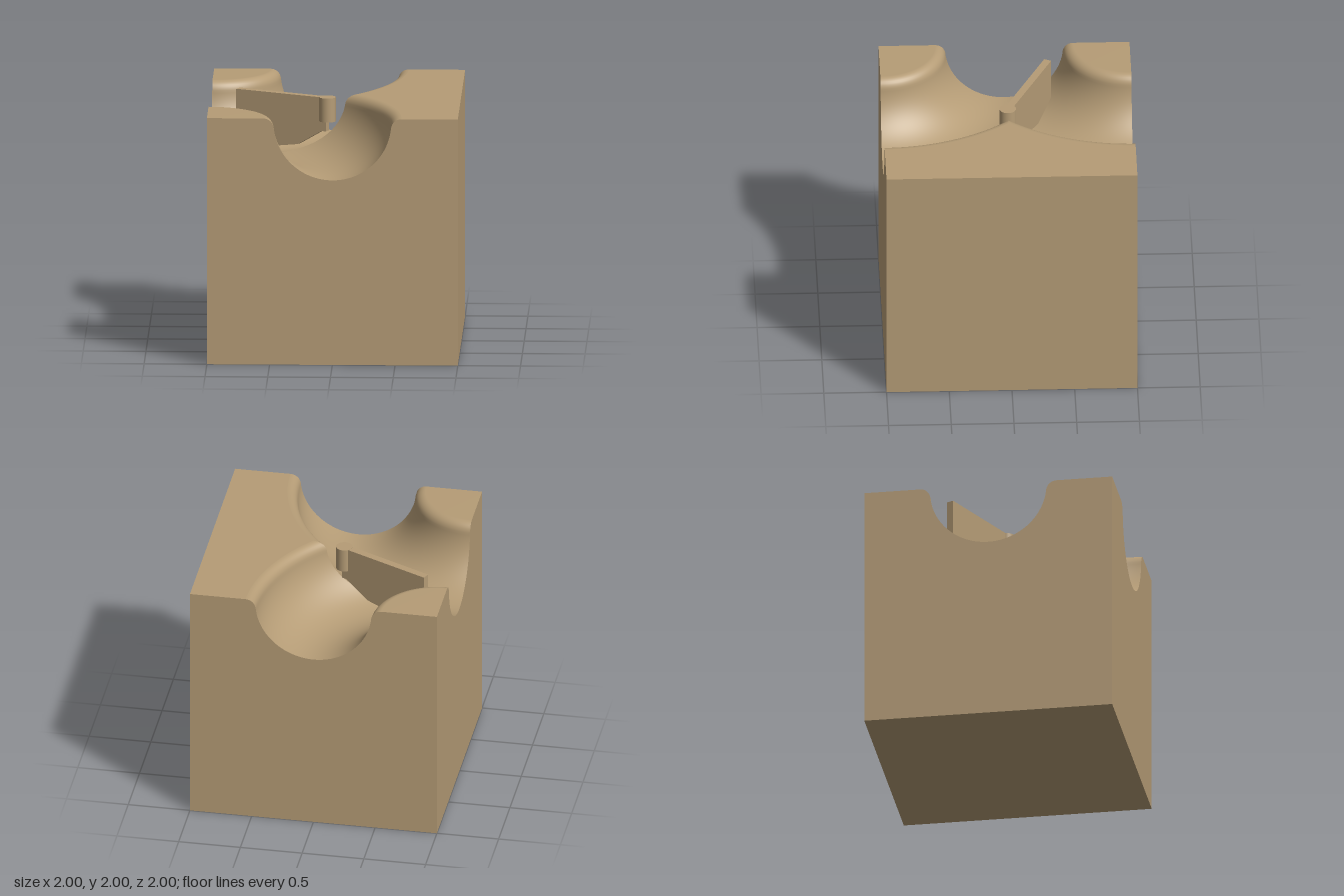
import * as THREE from 'three';

const RING = 1;      // centre-line radius of each curved channel
const STEPS = 48;    // divisions around each channel
const RIM = 0.55;    // half width of the channel at the top surface

// Half cross-section of the channel: [distance from centre line, height]
function channelHalf() {
  const pts = [];
  const tilt = Math.atan2(0.051, 0.55);
  for (let i = 0; i <= 32; i++) {
    const a = -Math.PI / 2 + (Math.PI / 2 - tilt) * i / 32;
    pts.push([0.47 * Math.cos(a), 1.97 + 0.47 * Math.sin(a)]);
  }
  for (let i = 1; i <= 8; i++) {
    const a = Math.PI - tilt + (tilt - Math.PI / 2) * i / 8;
    pts.push([RIM + 0.081 * Math.cos(a), 1.919 + 0.081 * Math.sin(a)]);
  }
  pts[pts.length - 1] = [RIM, 2];
  return pts;
}

// Full cross-section from the inner rim to the outer rim
function channelProfile() {
  const half = channelHalf();
  const inner = half.slice(1).reverse().map(([d, y]) => [-d, y]);
  return [...inner, ...half];
}

// Angle at which a ring of radius r meets the middle plane z = 0
const startAngle = (r) => (r > 1 ? Math.acos(1 / r) : 0);

// Quarter channel swept around the corner (-1, side), with its flat island
function channelGeometry(profile, side) {
  const rows = [[0.001, 2], ...profile.map(([d, y]) => [RING + d, y])];
  const pos = [], index = [];
  rows.forEach(([r, y], i) => {
    const t0 = startAngle(r);
    for (let j = 0; j <= STEPS; j++) {
      const t = t0 + (Math.PI / 2 - t0) * j / STEPS;
      pos.push(-1 + r * Math.sin(t), y, side * (1 - r * Math.cos(t)));
      if (i < rows.length - 1 && j < STEPS) {
        const a = i * (STEPS + 1) + j, b = a + STEPS + 1;
        if (side > 0) index.push(a, a + 1, b + 1, a, b + 1, b);
        else index.push(a, b + 1, a + 1, a, b, b + 1);
      }
    }
  });
  const g = new THREE.BufferGeometry();
  g.setAttribute('position', new THREE.Float32BufferAttribute(pos, 3));
  g.setIndex(index);
  g.computeVertexNormals();
  return g;
}

export function createModel() {
  const model = new THREE.Group();
  const tan = new THREE.MeshStandardMaterial({ color: 0xb59c76 });
  tan.name = 'tan wood';
  const add = (name, geometry, parent = model) => {
    const mesh = new THREE.Mesh(geometry, tan);
    mesh.name = name;
    parent.add(mesh);
    return mesh;
  };

  const profile = channelProfile();

  // Block body
  const block = new THREE.Group();
  block.name = 'block';
  model.add(block);
  add('frontChannel', channelGeometry(profile, 1), block);
  add('backChannel', channelGeometry(profile, -1), block);

  // Walls notched by a channel mouth
  const notched = new THREE.Shape([[-1, 0], [1, 0], [1, 2], ...[...profile].reverse(), [-1, 2]]
    .map(([x, y]) => new THREE.Vector2(x, y)));
  [['frontWall', 0], ['backWall', Math.PI], ['leftOpenWall', -Math.PI / 2]].forEach(([name, turn]) => {
    add(name, new THREE.ShapeGeometry(notched).translate(0, 0, 1).rotateY(turn), block);
  });

  // Plain wall and underside
  add('plainWall', new THREE.PlaneGeometry(2, 2).rotateY(Math.PI / 2).translate(1, 1, 0), block);
  add('underside', new THREE.PlaneGeometry(2, 2).rotateX(Math.PI / 2), block);

  // Flat top beside the channels, bounded by both outer rims
  const outer = RING + RIM, t0 = startAngle(outer), edge = [];
  for (let j = STEPS; j >= 0; j--) {
    const t = t0 + (Math.PI / 2 - t0) * j / STEPS;
    edge.push(new THREE.Vector2(-1 + outer * Math.sin(t), 1 - outer * Math.cos(t)));
  }
  const mirrored = edge.slice(0, -1).reverse().map((p) => new THREE.Vector2(p.x, -p.y));
  const topShape = new THREE.Shape([
    new THREE.Vector2(1, -1), new THREE.Vector2(1, 1), ...edge, ...mirrored,
  ]);
  // Both rims start on the block's front and back edges
  add('flatTop', new THREE.ShapeGeometry(topShape).rotateX(-Math.PI / 2).translate(0, 2, 0), block);

  // Swinging gate: pivot post and blade
  const gate = new THREE.Group();
  gate.name = 'gate';
  gate.position.set(-0.068, 0, 0);
  gate.rotation.y = Math.PI - 0.441;
  model.add(gate);
  add('pivotPost', new THREE.CylinderGeometry(0.066, 0.066, 0.195, 40).translate(0, 1.8775, 0), gate);
  const blade = new THREE.Shape([
    [0, 1.974], [0, 1.70], [0.04, 1.70], [0.25, 1.575], [0.54, 1.53], [0.8, 1.63], [0.8, 1.974],
  ].map(([x, y]) => new THREE.Vector2(x, y)));
  add('blade', new THREE.ExtrudeGeometry(blade, { depth: 0.06, bevelEnabled: false })
    .translate(0, 0, -0.03), gate);

  return model;
}
